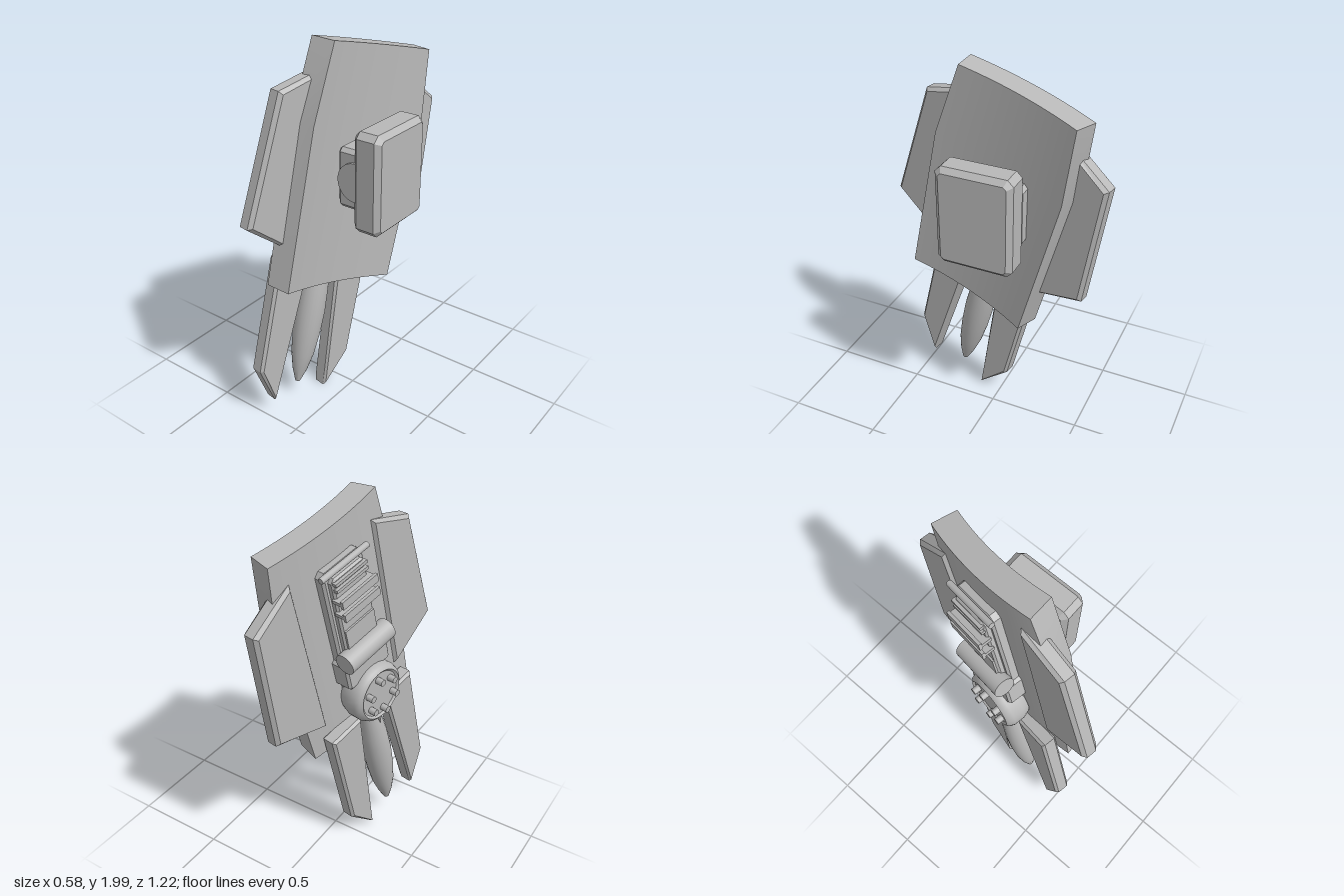
import * as THREE from 'three';
import { toCreasedNormals } from 'three/addons/utils/BufferGeometryUtils.js';

export function createModel() {
  const model = new THREE.Group();
  model.name = 'armShield';
  const grey = new THREE.MeshStandardMaterial({ color: 0xb8b8b8 });
  grey.name = 'plain grey';

  // Shield frame: -x is the outer side, y runs along the shield, z across it
  const shield = new THREE.Group();
  shield.name = 'shield';
  shield.rotation.set(-0.244, -0.175, -0.04, 'XZY');
  shield.position.set(-0.126, 0.073, 0.291);
  model.add(shield);

  const add = (parent, name, geometry, x = 0, y = 0, z = 0) => {
    const mesh = new THREE.Mesh(geometry, grey);
    mesh.name = name;
    mesh.position.set(x, y, z);
    parent.add(mesh);
    return mesh;
  };

  // Box given by its limits on each axis
  const box = (parent, name, x0, x1, y0, y1, z0, z1) =>
    add(parent, name, new THREE.BoxGeometry(x1 - x0, y1 - y0, z1 - z0),
      (x0 + x1) / 2, (y0 + y1) / 2, (z0 + z1) / 2);

  // Bevelled slab: outline in (z, y), filling x0..x1
  const slab = (points, x0, x1, bevel) => {
    const shape = new THREE.Shape(points.map(([z, y]) => new THREE.Vector2(z, y)));
    const g = new THREE.ExtrudeGeometry(shape, {
      depth: x1 - x0 - 2 * bevel, bevelEnabled: true, bevelThickness: bevel,
      bevelSize: bevel, bevelOffset: -bevel, bevelSegments: 1,
    });
    return g.translate(0, 0, bevel).rotateY(-Math.PI / 2).translate(x1, 0, 0);
  };

  // Rectangle with cut corners
  const cutRect = (z0, z1, y0, y1, c) => [
    [z0 + c, y0], [z1 - c, y0], [z1, y0 + c], [z1, y1 - c],
    [z1 - c, y1], [z0 + c, y1], [z0, y1 - c], [z0, y0 + c],
  ];

  // Main plate: a thick arc, widest a little above the middle
  const R = 1.94, thick = 0.13;
  const plate = new THREE.BoxGeometry(1, 1, 1, 1, 2, 14);
  const pos = plate.attributes.position;
  for (let i = 0; i < pos.count; i++) {
    const row = Math.round((pos.getY(i) + 0.5) * 2);
    const half = [0.375, 0.395, 0.345][row];
    const angle = pos.getZ(i) * 2 * Math.asin(half / R);
    const r = R - (pos.getX(i) + 0.5) * thick;
    pos.setXYZ(i, R * Math.cos(0.18) - r * Math.cos(angle),
      [0.687, 1.513, 1.9][row], r * Math.sin(angle));
  }
  plate.computeVertexNormals();
  add(shield, 'mainPlate', plate);

  // Mirrored side fins and lower prongs
  const fin = [[0.27, 1.77], [0.525, 1.65], [0.585, 1.005], [0.27, 0.86]];
  const prong = [[0.095, 0.8], [0.31, 0.8], [0.31, 0.17], [0.175, -0.025]];
  for (const [side, s] of [['front', 1], ['back', -1]]) {
    const flip = (pts) => pts.map(([z, y]) => [z * s, y]);
    add(shield, side + 'Fin', slab(flip(fin), -0.03, 0.06, 0.018));
    add(shield, side + 'Prong', slab(flip(prong), -0.092, -0.005, 0.014));
  }

  // Pointed centre spike
  const spike = [[0, 0.025], [0.014, 0.025], [0.04, 0.1], [0.062, 0.2], [0.075, 0.33],
    [0.08, 0.46], [0.074, 0.6], [0.06, 0.72], [0.045, 0.82], [0, 0.82]];
  add(shield, 'centreSpike', toCreasedNormals(new THREE.LatheGeometry(
    spike.map(([r, y]) => new THREE.Vector2(r, y)), 20), 0.7), -0.06, 0, -0.01);
  const barb = add(shield, 'spikeBarb', new THREE.ConeGeometry(0.022, 0.09, 10), -0.13, 0.755, -0.01);
  barb.rotation.x = Math.PI;

  // Round drum with rim and six studs
  const drum = new THREE.Group();
  drum.name = 'drum';
  drum.position.set(0, 0.94, 0);
  shield.add(drum);
  const rim = [[0, 0.03], [0.15, 0.03], [0.165, 0.07], [0.165, 0.13], [0.155, 0.155],
    [0.138, 0.168], [0.126, 0.158], [0, 0.158]];
  add(drum, 'drumBody', toCreasedNormals(new THREE.LatheGeometry(
    rim.map(([r, y]) => new THREE.Vector2(r, y)), 36).rotateZ(Math.PI / 2), 0.6));
  for (let i = 0; i < 6; i++) {
    const a = (i + 0.5) * Math.PI / 3;
    add(drum, 'stud', new THREE.CylinderGeometry(0.018, 0.018, 0.05, 12).rotateZ(Math.PI / 2),
      -0.172, 0.095 * Math.sin(a), 0.095 * Math.cos(a));
  }

  // Mechanism housing above the drum
  add(shield, 'housing', slab(cutRect(-0.135, 0.135, 1.15, 1.74, 0.025), -0.075, 0, 0.012));
  add(shield, 'housingCover', slab(cutRect(-0.11, 0.11, 1.2, 1.71, 0.02), -0.105, -0.06, 0.01));
  box(shield, 'housingStep', -0.115, -0.1, 1.3, 1.41, -0.1, 0.1);
  add(shield, 'collar', slab(cutRect(-0.15, 0.15, 1.06, 1.22, 0.015), -0.12, 0, 0.012));
  box(shield, 'neck', -0.085, 0, 0.86, 1.07, -0.125, 0.125);
  add(shield, 'crossRoller', new THREE.CylinderGeometry(0.056, 0.056, 0.31, 24).rotateX(Math.PI / 2),
    -0.122, 1.25, 0);

  // Rails and louvres
  for (const y of [1.515, 1.59]) {
    box(shield, 'rail', -0.155, -0.09, y, y + 0.018, -0.12, 0.12);
    box(shield, 'railLip', -0.158, -0.142, y - 0.012, y + 0.03, -0.12, 0.12);
  }
  for (const y of [1.645, 1.68]) box(shield, 'louvre', -0.122, -0.095, y, y + 0.016, -0.105, 0.105);
  add(shield, 'topBar', new THREE.CylinderGeometry(0.016, 0.016, 0.31, 12).rotateX(Math.PI / 2),
    -0.085, 1.735, 0);

  // Arm mount and pad on the inner side, square to the ground
  const mount = new THREE.Group();
  mount.name = 'armMount';
  model.add(mount);
  add(mount, 'bracket', slab(cutRect(-0.21, 0.15, 1.18, 1.49, 0.02), 0.02, 0.14, 0.015));
  add(mount, 'pivot', new THREE.CylinderGeometry(0.1, 0.1, 0.365, 28).rotateX(Math.PI / 2),
    0.13, 1.335, -0.018);
  add(mount, 'pad', slab(cutRect(-0.217, 0.177, 1.08, 1.597, 0.03), 0.122, 0.274, 0.026));

  return model;
}
